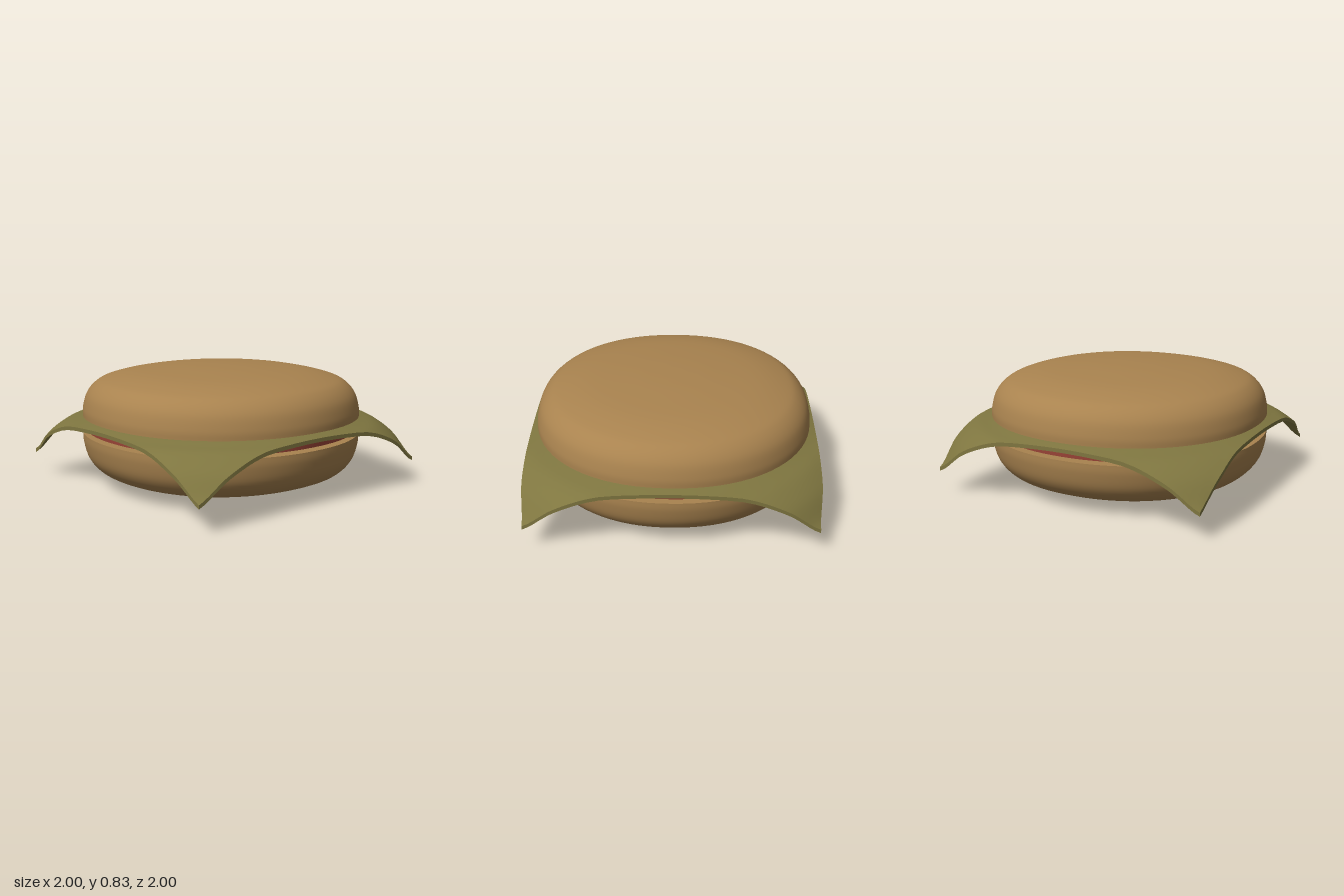
import * as THREE from 'three';
import { mergeGeometries } from 'three/addons/utils/BufferGeometryUtils.js';

const material = (color) => new THREE.MeshStandardMaterial({ color });

// Round the outline into a slightly squared circle
function squareOff(geometry, n = 2.14) {
  const p = geometry.attributes.position;
  for (let i = 0; i < p.count; i++) {
    const x = p.getX(i), z = p.getZ(i), r = Math.hypot(x, z);
    if (r < 1e-6) continue;
    const f = r / Math.pow(Math.abs(x) ** n + Math.abs(z) ** n, 1 / n);
    p.setX(i, x * f);
    p.setZ(i, z * f);
  }
  return geometry;
}

// Domed half of a bun with a flat, sharp-edged cut face at y = 0
function bunGeometry(height) {
  const profile = [
    [0.966, 0], [0.963, 0.18], [0.935, 0.46], [0.875, 0.67], [0.79, 0.79],
    [0.6, 0.91], [0.3, 0.98], [0.1, 1], [0, 1],
  ].map(([r, y]) => new THREE.Vector2(r, y * height));
  const points = new THREE.SplineCurve(profile).getPoints(40);
  points.forEach((p) => { p.x = Math.max(p.x, 0); });
  const dome = new THREE.LatheGeometry(points, 80);
  const cut = new THREE.LatheGeometry([new THREE.Vector2(0, 0), points[0].clone()], 80);
  return squareOff(mergeGeometries([dome, cut]));
}

// Height of the slice's top surface against distance from the middle
const DROOP = [
  [0, 0.488], [0.86, 0.488], [0.94, 0.48], [1, 0.461], [1.1, 0.445],
  [1.17, 0.402], [1.28, 0.318], [1.35, 0.235], [1.42, 0.175],
];
function droop(r) {
  let i = 1;
  while (i < DROOP.length - 1 && r > DROOP[i][0]) i++;
  const [r0, y0] = DROOP[i - 1], [r1, y1] = DROOP[i];
  return y0 + (y1 - y0) * Math.min((r - r0) / (r1 - r0), 1);
}
const smoothDroop = (r) => (droop(Math.max(r - 0.04, 0)) + 2 * droop(r) + droop(r + 0.04)) / 4;

// Square slice whose corners hang down and tuck slightly inward
function sliceGeometry() {
  const thickness = 0.026;
  const g = new THREE.BoxGeometry(2, thickness, 2, 48, 1, 48);
  const p = g.attributes.position;
  for (let i = 0; i < p.count; i++) {
    const x = p.getX(i), z = p.getZ(i), r = Math.hypot(x, z);
    const tuck = 1 - 0.028 * THREE.MathUtils.smoothstep(r, 1.2, 1.414);
    p.setXYZ(i, x * tuck, smoothDroop(r) + p.getY(i) - thickness / 2, z * tuck);
  }
  g.computeVertexNormals();
  return g;
}

export function createModel() {
  const group = new THREE.Group();
  const bunMaterial = material(0xa9834f);
  const add = (name, geometry, mat, y = 0) => {
    const mesh = new THREE.Mesh(geometry, mat);
    mesh.name = name;
    mesh.position.y = y;
    group.add(mesh);
    return mesh;
  };

  // Buns
  add('topBun', bunGeometry(0.335), bunMaterial, 0.49);
  add('bottomBun', bunGeometry(0.373), bunMaterial, 0.373).rotation.x = Math.PI;

  // Fillings
  add('filling', squareOff(new THREE.CylinderGeometry(0.95, 0.94, 0.062, 80)), material(0xa3483a), 0.421);
  add('cheeseSlice', sliceGeometry(), material(0x7f7640));

  return group;
}
